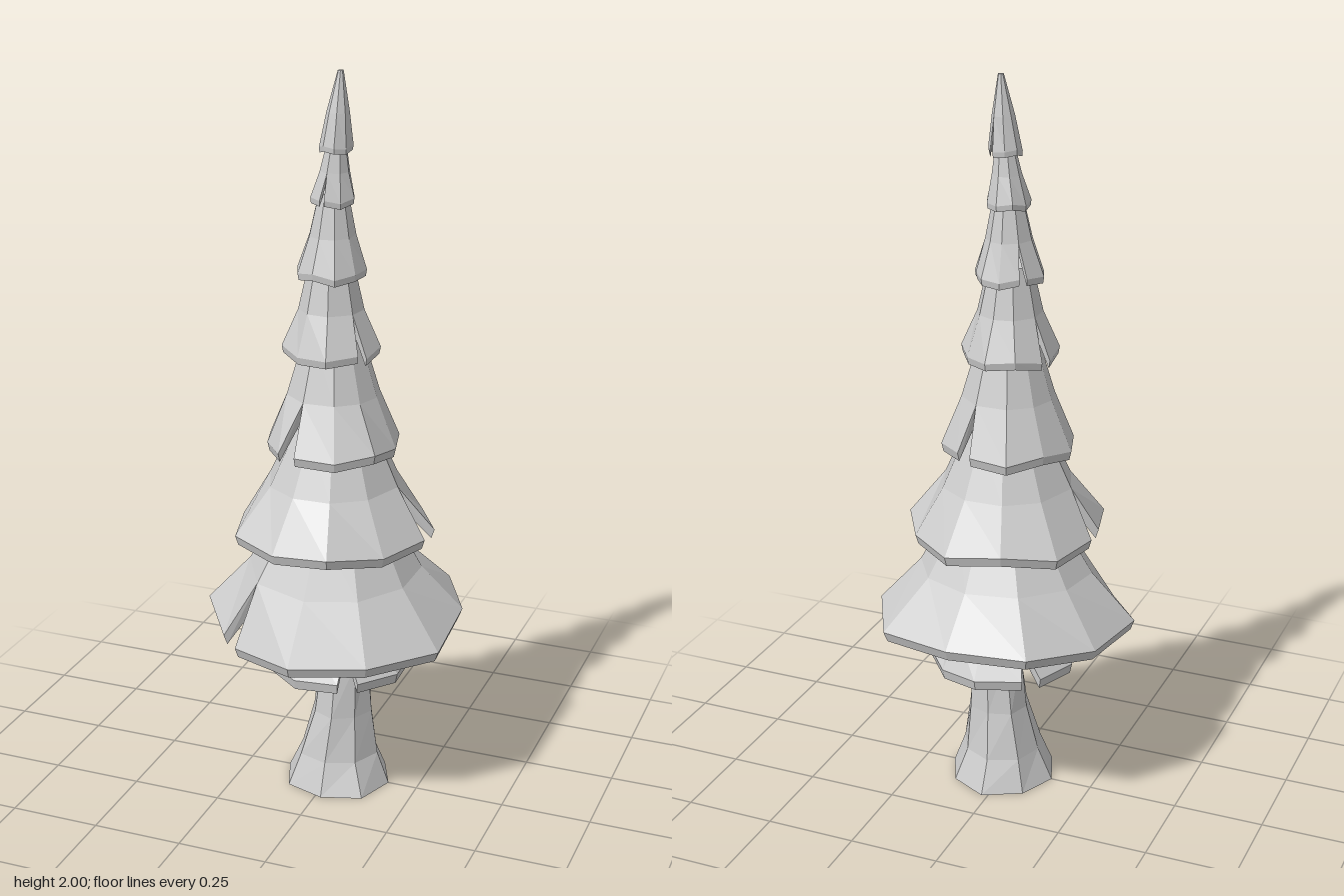
import * as THREE from 'three';

const material = new THREE.MeshStandardMaterial({ color: 0xcccccc, flatShading: true });

// Each tier: rim height y, top height, thickness t, centre x at rim (c) and top (ct),
// notch angles (degrees, descending, from +x towards +z) with half width h,
// and for each panel between notches the rim radii at evenly spaced angles.
const ring = (r, sides) => Array.from({ length: sides + 1 }, (_, i) => r * (1 + 0.04 * Math.sin(i * 2.4 + r * 50)));
const tiers = [
  { y: 0.385, top: 0.58, t: 0.028, c: 0.015, ct: 0.03, topScale: 0.42, notches: [62, -135], h: 8,
    panels: [ring(0.205, 5), ring(0.205, 4)] },
  { y: 0.515, top: 0.82, t: 0.028, c: 0, ct: 0.01, tilt: -0.08, topScale: 0.4, notches: [130], h: 6,
    panels: [[0.322, 0.349, 0.338, 0.367, 0.356, 0.378, 0.354, 0.372, 0.345, 0.354, 0.322]] },
  { y: 0.775, top: 1.06, t: 0.026, c: 0, ct: 0.005, topScale: 0.41, notches: [178, 0], h: 7,
    panels: [[0.25, 0.28, 0.27, 0.288, 0.269, 0.275], [0.28, 0.262, 0.27, 0.25, 0.265, 0.25]] },
  { y: 1.02, top: 1.31, t: 0.024, c: 0, ct: 0, topScale: 0.42, notches: [108, -70], h: 7,
    panels: [[0.194, 0.187, 0.196, 0.18, 0.18, 0.175], [0.175, 0.184, 0.175, 0.183, 0.178, 0.2]] },
  { y: 1.275, top: 1.51, t: 0.02, c: -0.005, ct: -0.005, topScale: 0.45, notches: [30, -160], h: 6,
    panels: [ring(0.128, 5), ring(0.128, 4)] },
  { y: 1.485, top: 1.69, t: 0.018, c: -0.005, ct: 0, topScale: 0.42, notches: [-20, -135], h: 7,
    panels: [ring(0.092, 3), ring(0.092, 6)] },
  { y: 1.675, top: 1.83, t: 0.015, c: 0, ct: 0.01, topScale: 0.4, notches: [100], h: 7,
    panels: [ring(0.058, 8)] },
  { y: 1.81, top: 2, t: 0.014, c: 0.008, ct: 0.018, topScale: 0.17, notches: [-60], h: 7,
    panels: [ring(0.044, 8)] },
];

// Flared skirt of flat facets with a thick rim, a hollow underside and V notches
function skirt({ y, top, t, c, ct, tilt = 0, topScale, notches, h, panels }) {
  const pos = [];
  const quad = (a, b, d, e) => pos.push(...a, ...b, ...d, ...a, ...d, ...e);
  const all = panels.flat();
  const mean = all.reduce((s, r) => s + r, 0) / all.length;
  const yMid = y + (top - y) * 0.45;
  const point = (deg, r, py) => {
    const a = THREE.MathUtils.degToRad(deg);
    const k = Math.max(0, (py - y) / (top - y));
    const z = r * Math.sin(a);
    return [c + (ct - c) * k + r * Math.cos(a), py + tilt * z * (1 - k), z - (top === 2 ? 0.005 * k : 0)];
  };
  const topRing = [];

  panels.forEach((radii, p) => {
    const start = notches[p];
    const end = p + 1 < notches.length ? notches[p + 1] : notches[0] - 360;
    const n = radii.length - 1;
    const columns = radii.map((r, i) => {
      const rimAngle = start - h + (end - start + 2 * h) * (i / n);
      const angle = i === 0 ? start : i === n ? end : rimAngle;
      const yRim = y + t * 0.35 * Math.sin(i * 2.4 + y * 9);
      return [
        point(angle, mean * topScale, top),
        point(angle, mean * 0.68, yMid),
        point(rimAngle, r, yRim),
        point(rimAngle, r * 0.97, yRim - t),
        point(angle, mean * 0.58, yMid - t),
        point(angle, mean * topScale * 0.8, top - t),
      ];
    });
    for (let i = 0; i < n; i++) {
      const l = columns[i], r = columns[i + 1];
      for (let k = 0; k < 5; k++) quad(l[k], l[k + 1], r[k + 1], r[k]);
      topRing.push([l[0], r[0]]);
    }
    // side walls of the notches
    const s = columns[0], e = columns[n];
    quad(s[1], s[4], s[3], s[2]);
    quad(e[1], e[2], e[3], e[4]);
  });

  // closed top
  const centre = point(0, 0, top);
  topRing.forEach(([l, r]) => pos.push(...centre, ...l, ...r));

  const geometry = new THREE.BufferGeometry();
  geometry.setAttribute('position', new THREE.Float32BufferAttribute(pos, 3));
  geometry.computeVertexNormals();
  return geometry;
}

// Eight-sided trunk, flared at the root and leaning slightly
function trunkGeometry() {
  const rings = [[0, 0.15, 0.017], [0.09, 0.112, 0.017], [0.22, 0.085, 0.028], [0.38, 0.07, 0.034], [0.62, 0.06, 0.025]];
  const geometry = new THREE.CylinderGeometry(1, 1, 4, 8, 4);
  const p = geometry.attributes.position;
  for (let i = 0; i < p.count; i++) {
    const [y, r, x] = rings[Math.round(p.getY(i) + 2)];
    const a = Math.atan2(p.getZ(i), p.getX(i));
    const bump = 1 + 0.04 * Math.sin(3 * a + y * 12);
    p.setXYZ(i, x + p.getX(i) * r * bump, y, p.getZ(i) * r * bump);
  }
  const flat = geometry.toNonIndexed();
  flat.computeVertexNormals();
  return flat;
}

export function createModel() {
  const tree = new THREE.Group();
  tree.name = 'pineTree';

  const trunk = new THREE.Mesh(trunkGeometry(), material);
  trunk.name = 'trunk';
  tree.add(trunk);

  tiers.forEach((tier, i) => {
    const mesh = new THREE.Mesh(skirt(tier), material);
    mesh.name = `branchTier${i + 1}`;
    tree.add(mesh);
  });
  return tree;
}
